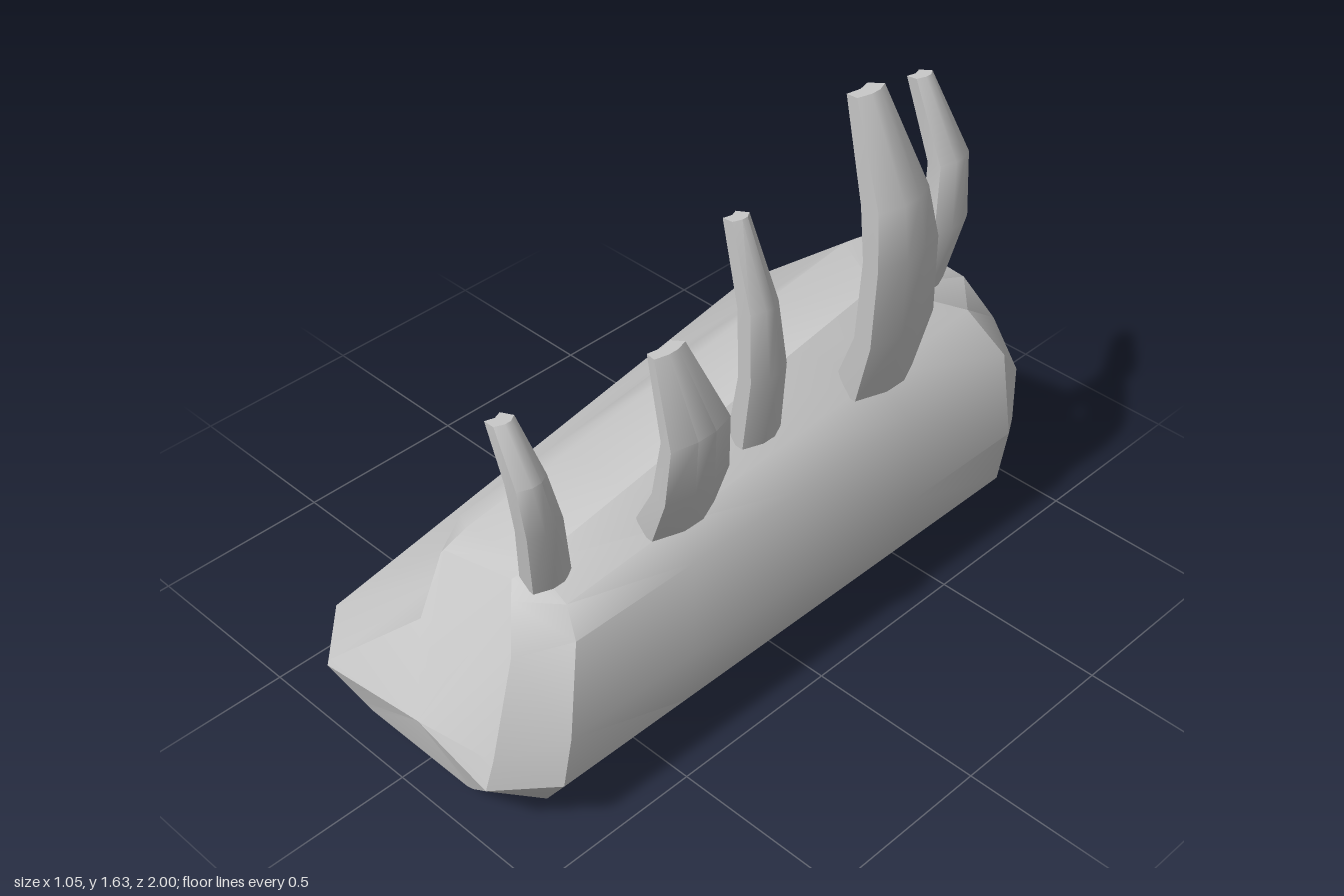
import * as THREE from 'three';
import { toCreasedNormals } from 'three/addons/utils/BufferGeometryUtils.js';

const material = new THREE.MeshStandardMaterial({ color: 0xcccccc });

// Joins rings of [x, y, z] points into a closed skin; the end rings are fanned to a centre.
function loft(rings, startCentre, endCentre, crease) {
  const pos = [];
  const tri = (...corners) => corners.forEach((c) => pos.push(...c));
  const n = rings[0].length;
  const last = rings[rings.length - 1];
  for (let i = 0; i < n; i++) {
    const j = (i + 1) % n;
    for (let k = 0; k < rings.length - 1; k++) {
      const a = rings[k], b = rings[k + 1];
      tri(a[i], a[j], b[j]);
      tri(a[i], b[j], b[i]);
    }
    tri(startCentre, rings[0][j], rings[0][i]);
    tri(endCentre, last[i], last[j]);
  }
  const geometry = new THREE.BufferGeometry();
  geometry.setAttribute('position', new THREE.Float32BufferAttribute(pos, 3));
  return toCreasedNormals(geometry, crease);
}

function addMesh(group, name, geometry) {
  const mesh = new THREE.Mesh(geometry, material);
  mesh.name = name;
  group.add(mesh);
}

const mixRings = (a, b, t) => a.map((p, i) => p.map((v, k) => v + (b[i][k] - v) * t));

// Body outlines, anticlockwise from the bottom right
const backCap = [
  [0.15, 0.06, -0.88], [0.22, 0.08, -0.9], [0.32, 0.2, -1], [0.32, 0.38, -0.995],
  [0.3, 0.6, -0.89], [0.24, 0.74, -0.82], [0.18, 0.8, -0.76], [0, 0.82, -0.7],
  [-0.03, 0.8, -0.69], [-0.2, 0.59, -0.86], [-0.35, 0.38, -0.995], [-0.35, 0.2, -1],
  [-0.25, 0.08, -0.9], [-0.15, 0.06, -0.88],
];
const backRim = [
  [0.18, 0, -0.7], [0.35, 0.06, -0.73], [0.455, 0.2, -0.76], [0.48, 0.37, -0.76],
  [0.46, 0.64, -0.73], [0.38, 0.78, -0.66], [0.25, 0.905, -0.43], [0, 0.84, -0.6],
  [-0.15, 0.68, -0.43], [-0.38, 0.52, -0.64], [-0.53, 0.37, -0.76], [-0.48, 0.2, -0.76],
  [-0.37, 0.06, -0.73], [-0.2, 0.015, -0.7],
];
const frontRim = [
  [0.18, 0, 0.82], [0.35, 0.06, 0.83], [0.45, 0.2, 0.86], [0.46, 0.35, 0.84],
  [0.41, 0.58, 0.77], [0.36, 0.65, 0.75], [0.25, 0.705, 0.75], [0, 0.66, 0.74],
  [-0.1, 0.6, 0.68], [-0.08, 0.46, 0.75], [-0.41, 0.22, 0.86], [-0.4, 0.2, 0.86],
  [-0.36, 0.06, 0.83], [-0.1, 0, 0.82],
];
const frontCap = [
  [0.18, 0.06, 0.94], [0.21, 0.075, 0.945], [0.33, 0.2, 1], [0.34, 0.29, 0.98],
  [0.33, 0.56, 0.9], [0.27, 0.66, 0.84], [0.24, 0.69, 0.81], [0, 0.635, 0.815],
  [-0.005, 0.625, 0.82], [0, 0.47, 0.9], [-0.27, 0.215, 0.995], [-0.27, 0.2, 1],
  [-0.21, 0.075, 0.945], [-0.18, 0.06, 0.94],
];

// Each spike: levels of [x, y, z, half width in x, half width in z], from base to tip
const spikes = [
  [[0.28, 0.67, 0.74, 0.045, 0.06], [0.335, 0.9, 0.8, 0.04, 0.055],
    [0.345, 1.06, 0.84, 0.037, 0.045], [0.28, 1.2, 0.85, 0.028, 0.03]],
  [[0.34, 0.68, 0.385, 0.07, 0.105], [0.44, 0.87, 0.43, 0.05, 0.105],
    [0.485, 1.06, 0.46, 0.04, 0.095], [0.43, 1.28, 0.495, 0.025, 0.048]],
  [[0.32, 0.75, 0.085, 0.05, 0.068], [0.375, 0.99, 0.12, 0.04, 0.062],
    [0.385, 1.2, 0.15, 0.037, 0.047], [0.33, 1.43, 0.17, 0.026, 0.028]],
  [[0.36, 0.73, -0.31, 0.075, 0.11], [0.44, 0.95, -0.28, 0.055, 0.118],
    [0.47, 1.2, -0.25, 0.05, 0.11], [0.465, 1.36, -0.225, 0.052, 0.09],
    [0.38, 1.625, -0.2, 0.03, 0.048]],
  [[0.27, 0.84, -0.59, 0.045, 0.07], [0.325, 1.05, -0.605, 0.04, 0.065],
    [0.33, 1.25, -0.595, 0.037, 0.055], [0.25, 1.47, -0.56, 0.026, 0.03]],
];

// Six-sided ring, with the inner face slightly hollowed
function spikeRing([x, y, z, hx, hz]) {
  const outline = [[1, 0.3], [0.5, 1], [-0.9, 0.75], [-0.55, 0], [-0.9, -0.75], [0.5, -1], [1, -0.3]];
  return outline.map(([u, v]) => [x + u * hx, y + u * hx * 0.25, z - v * hz]);
}

export function createModel() {
  const model = new THREE.Group();
  model.name = 'spikedBody';

  const trunk = [0, 0.25, 0.5, 0.75, 1].map((t) => mixRings(backRim, frontRim, t));
  const body = loft([backCap, ...trunk, frontCap], [0, 0.36, -1], [0.08, 0.25, 0.995], 0.55);
  addMesh(model, 'body', body);

  const row = new THREE.Group();
  row.name = 'spikes';
  spikes.forEach((levels, i) => {
    const base = levels[0].slice(0, 3);
    const tip = levels[levels.length - 1].slice(0, 3);
    addMesh(row, `spike${i + 1}`, loft(levels.map(spikeRing), base, tip, 0.6));
  });
  model.add(row);
  return model;
}
